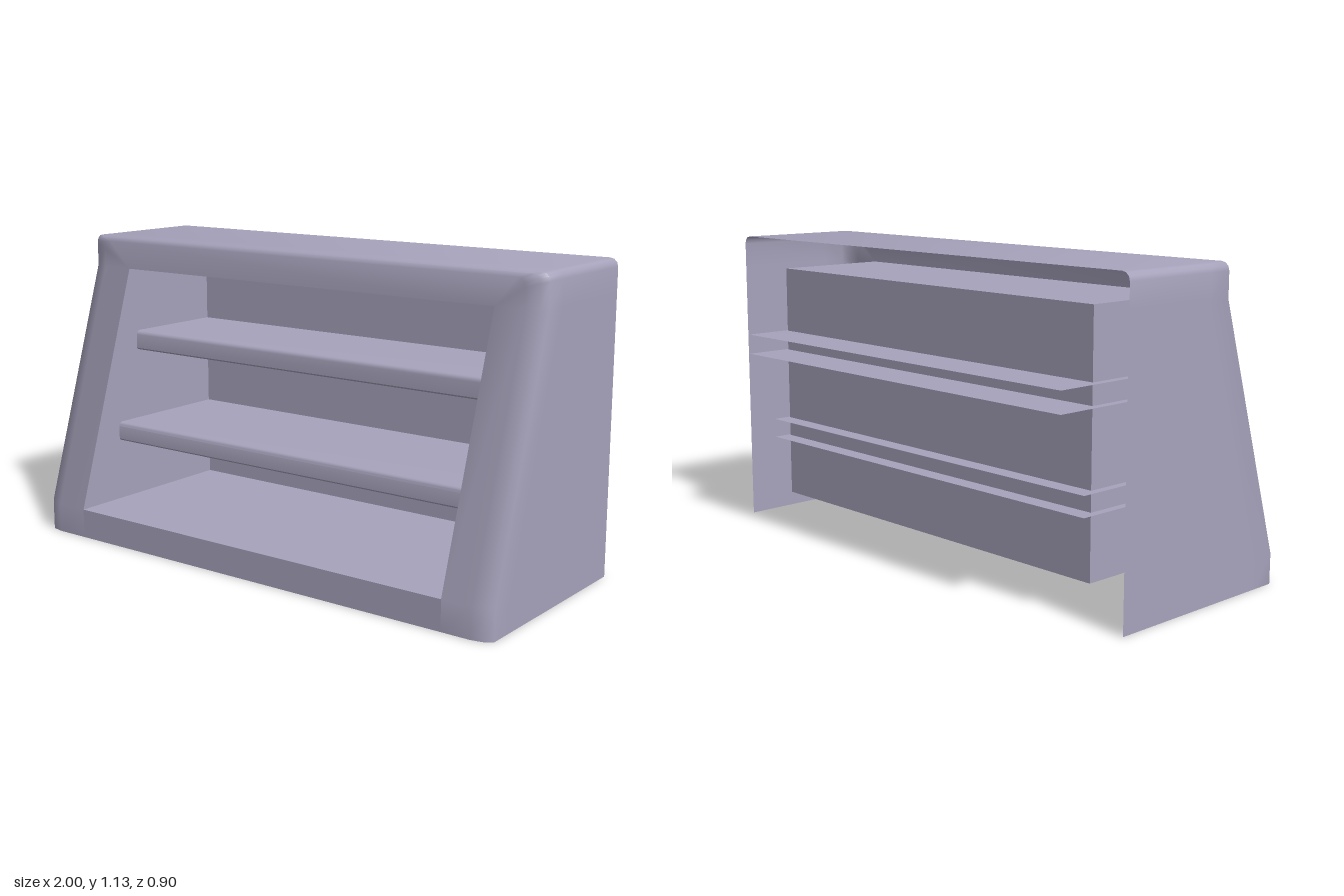
import * as THREE from 'three';
import { toCreasedNormals } from 'three/addons/utils/BufferGeometryUtils.js';

// Skin a list of equally long cross-sections with quads.
function skin(loops, crease = 0.9) {
  const n = loops[0].length, index = [];
  for (let i = 0; i < loops.length - 1; i++) {
    for (let j = 0; j < n - 1; j++) {
      const a = i * n + j, b = a + 1, d = a + n, c = d + 1;
      index.push(a, b, d, b, c, d);
    }
  }
  const g = new THREE.BufferGeometry();
  g.setAttribute('position', new THREE.Float32BufferAttribute(loops.flat(2), 3));
  g.setIndex(index);
  return toCreasedNormals(g, crease);
}

// Slanted front: upright base strip, slope, upright head strip.
const BASE = 0.11, HEAD = 1.01, TOP = 1.13, BACK = -0.345;
const LEFT = 0.82, RIGHT = -0.8, CAVITY_BACK = -0.28;
function frontZ(y) {
  const t = THREE.MathUtils.clamp((y - BASE) / (HEAD - BASE), 0, 1);
  return 0.45 - 0.285 * t;
}

// Arch section: up the left side, over the top, down the right side.
function arch(inset, topInset, zAt) {
  const x = 1 - inset, top = TOP - topInset, r = 0.03;
  const half = [[x, 0], [x, BASE], [x, HEAD]];
  for (let k = 0; k <= 3; k++) {
    const a = (k / 3) * Math.PI / 2;
    half.push([x - r + r * Math.cos(a), top - r + r * Math.sin(a)]);
  }
  const full = [...half, ...half.slice().reverse().map(([px, py]) => [-px, py])];
  return full.map(([px, py]) => [px, py, zAt(py)]);
}

// Front opening with one point for each point of the arch.
function openingLoop(count) {
  const side = (x) => Array.from({ length: count / 2 }, (_, i) => {
    const y = [0, BASE, HEAD][Math.min(i, 2)];
    return [x, y, frontZ(y)];
  });
  return [...side(LEFT), ...side(RIGHT).reverse()];
}

export function createModel() {
  const group = new THREE.Group();
  const paint = new THREE.MeshStandardMaterial({ color: 0xa6a2bb, side: THREE.DoubleSide });
  paint.name = 'lavender grey';

  const add = (name, geometry) => {
    const mesh = new THREE.Mesh(geometry, paint);
    mesh.name = name;
    group.add(mesh);
  };
  const quad = (name, a, b, c, d) => add(name, skin([[a, b], [d, c]]));

  // Outer casing, open at the back and underneath, with a softened front edge
  const loops = [
    arch(0, 0, () => BACK),
    arch(0, 0, (y) => frontZ(y) - 0.12),
    arch(0, 0, (y) => frontZ(y) - 0.03),
    arch(0.022, 0.006, (y) => frontZ(y) - 0.01),
    arch(0.07, 0.02, frontZ),
  ];
  loops.push(openingLoop(loops[0].length));
  add('casing', skin(loops));

  // Strip below the opening
  const zb = frontZ(BASE), zh = frontZ(HEAD);
  quad('baseStrip', [RIGHT, 0, zb], [LEFT, 0, zb], [LEFT, BASE, zb], [RIGHT, BASE, zb]);

  // Recessed cavity lining
  const fl = [LEFT, BASE, zb], fr = [RIGHT, BASE, zb];
  const hl = [LEFT, HEAD, zh], hr = [RIGHT, HEAD, zh];
  const bl = [LEFT, BASE, CAVITY_BACK], br = [RIGHT, BASE, CAVITY_BACK];
  const tl = [LEFT, HEAD, CAVITY_BACK], tr = [RIGHT, HEAD, CAVITY_BACK];
  quad('cavityFloor', fr, fl, bl, br);
  quad('cavityCeiling', tr, tl, hl, hr);
  quad('cavityBack', br, bl, tl, tr);
  quad('cavityLeftWall', bl, fl, hl, tl);
  quad('cavityRightWall', fr, br, tr, hr);

  // Hollow shelves with a rounded nose, open at the rear and ends
  function addShelf(name, bottom, top, front) {
    const rear = front - 0.59, r = 0.016;
    const section = [[bottom, rear], [bottom, front - 0.006], [bottom + 0.006, front]];
    for (let k = 0; k <= 3; k++) {
      const a = (k / 3) * Math.PI / 2;
      section.push([top - r + r * Math.sin(a), front - r + r * Math.cos(a)]);
    }
    section.push([top, rear]);
    const at = (x) => section.map(([y, z]) => [x, y, z]);
    add(name, skin([at(0.83), at(-0.83)], 0.7));
  }
  addShelf('lowerShelf', 0.345, 0.417, 0.245);
  addShelf('upperShelf', 0.69, 0.765, 0.135);

  return group;
}
